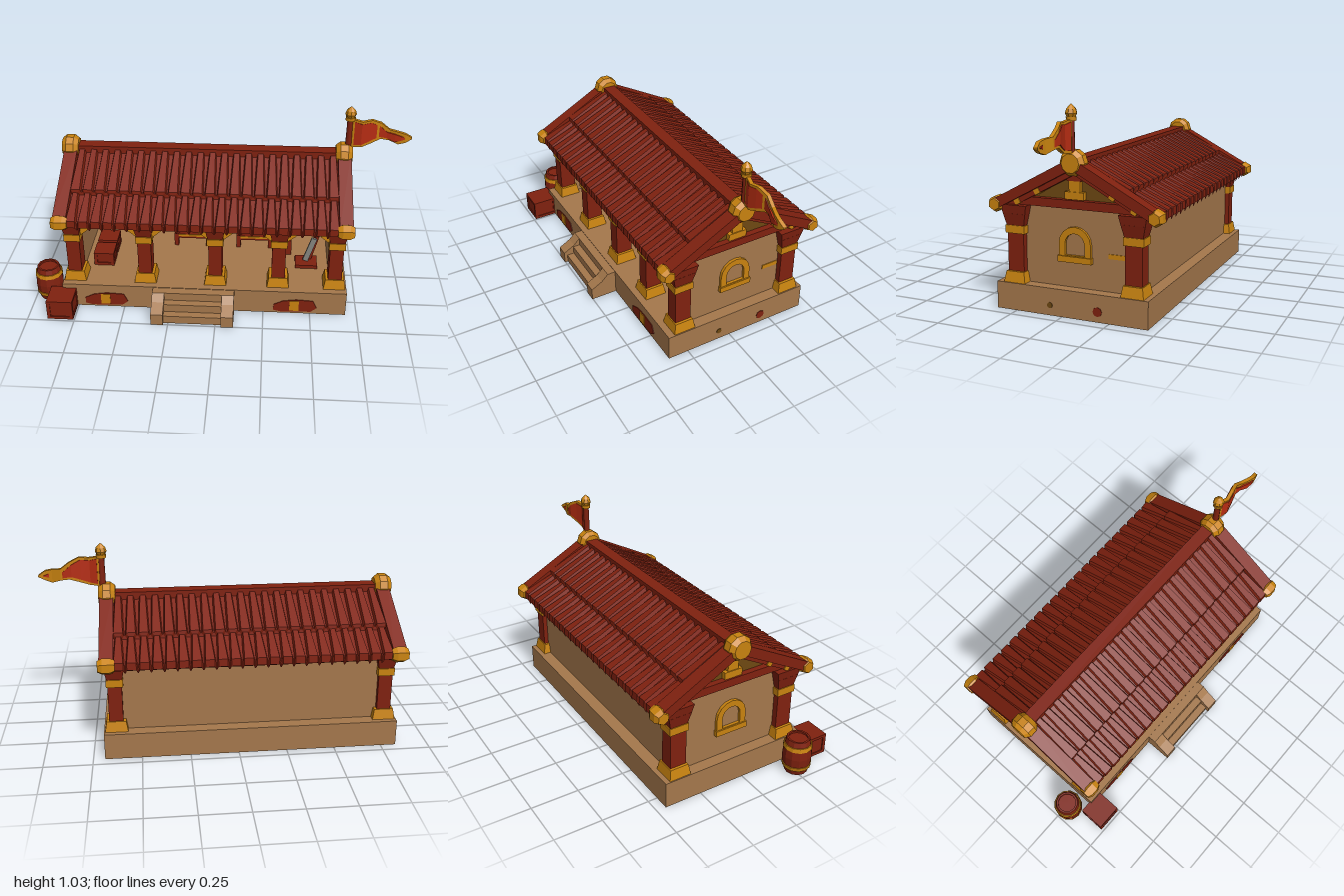
import * as THREE from 'three';

const mat = (name, color) => Object.assign(new THREE.MeshStandardMaterial({ color }), { name });

export function createModel() {
  const red = mat('dark red wood', 0x80210f), gold = mat('gold trim', 0xc9830f);
  const tan = mat('sandstone', 0xa5784c), flagRed = mat('flag cloth red', 0xb52c12);
  const brown = mat('brown timber', 0x6e4812), grey = mat('steel grey', 0x85857f);
  const root = new THREE.Group();
  root.name = 'openHall';
  const CX = -0.07, CZ = -0.05;

  const flat = (g) => {
    const n = g.index ? g.toNonIndexed() : g;
    n.computeVertexNormals();
    return n;
  };
  const add = (name, geo, m, x = 0, y = 0, z = 0, parent = root) => {
    const mesh = new THREE.Mesh(geo, m);
    mesh.name = name;
    mesh.position.set(x, y, z);
    parent.add(mesh);
    return mesh;
  };
  // box given by its limits
  const span = (name, m, x0, x1, y0, y1, z0, z1, parent = root) =>
    add(name, new THREE.BoxGeometry(x1 - x0, y1 - y0, z1 - z0), m, (x0 + x1) / 2, (y0 + y1) / 2, (z0 + z1) / 2, parent);
  // box whose top is scaled by s, standing on y = 0
  const taper = (w, h, d, s) => {
    const g = new THREE.BoxGeometry(w, h, d).translate(0, h / 2, 0), p = g.attributes.position;
    for (let i = 0; i < p.count; i++) if (p.getY(i) > h / 2) p.setXYZ(i, p.getX(i) * s, h, p.getZ(i) * s);
    return flat(g);
  };
  const lathe = (pts, sides) => flat(new THREE.LatheGeometry(pts.map((p) => new THREE.Vector2(...p)), sides));
  const extrude = (pts, depth, holes = []) => {
    const s = new THREE.Shape(pts.map((p) => new THREE.Vector2(...p)));
    holes.forEach((h) => s.holes.push(new THREE.Path(h.map((p) => new THREE.Vector2(...p)))));
    return new THREE.ExtrudeGeometry(s, { depth, bevelEnabled: false });
  };

  // plinth and painted patches
  span('plinth', tan, -0.83, 0.69, 0, 0.138, -0.45, 0.36);
  for (const x of [-0.6, 0.415]) {
    const pts = [[-0.11, -0.03], [-0.07, -0.04], [0.09, -0.035], [0.12, -0.01], [0.1, 0.035], [0.01, 0.04], [-0.06, 0.03], [-0.11, 0.005]];
    add('frontPatch', extrude(pts, 0.004), red, x, 0.05, 0.36);
    span('patchCentre', gold, x - 0.025, x + 0.025, 0.02, 0.083, 0.36, 0.367);
  }
  for (const [m, z, r] of [[red, -0.19, 0.024], [brown, 0.065, 0.015]])
    add('sidePatch', new THREE.CylinderGeometry(r, r, 0.006, 8).rotateZ(Math.PI / 2), m, 0.69, 0.052, z);

  // steps with sloping cheeks
  for (let i = 0; i < 3; i++) span('step', tan, -0.275, 0.03, 0, 0.045 * (i + 1), 0.35, 0.485 - 0.04 * i);
  const cheek = [[0.35, 0], [0.503, 0], [0.503, 0.065], [0.44, 0.1], [0.405, 0.135], [0.35, 0.135]];
  for (const x of [-0.34, 0.03])
    add('stepCheek', extrude(cheek.map(([z, y]) => [-z, y]).reverse(), 0.065).rotateY(Math.PI / 2), tan, x);

  // walls
  span('backWall', tan, -0.77, 0.63, 0.138, 0.53, -0.385, -0.355);
  for (const s of [-1, 1]) {
    const side = new THREE.Group();
    side.name = s > 0 ? 'leftSide' : 'rightSide';
    side.position.set(CX, 0, CZ);
    side.scale.x = s;
    root.add(side);
    span('sideWall', tan, 0.67, 0.7, 0.138, 0.53, -0.31, 0.28, side);
    span('tieBeam', red, 0.65, 0.72, 0.53, 0.572, -0.3, 0.3, side);
    add('gable', extrude([[-0.3, 0.57], [0.3, 0.57], [0, 0.73]], 0.03).rotateY(Math.PI / 2), brown, 0.66, 0, 0, side);
    span('kingPostFoot', gold, 0.68, 0.715, 0.575, 0.612, -0.05, 0.05, side);
    span('kingPost', gold, 0.68, 0.71, 0.612, 0.665, -0.03, 0.03, side);
    span('kingPostHead', red, 0.68, 0.715, 0.665, 0.73, -0.038, 0.038, side);
    // arched window surround
    const arch = (r, y0, y1) => {
      const a = [[-r, y0], [r, y0]];
      for (let i = 0; i <= 8; i++) a.push([r * Math.cos((i * Math.PI) / 8), y1 + r * Math.sin((i * Math.PI) / 8)]);
      return a;
    };
    add('windowFrame', extrude(arch(0.085, 0.275, 0.357), 0.02, [arch(0.052, 0.3, 0.357)]).rotateY(Math.PI / 2), gold, 0.695, 0, 0, side);
    span('windowSill', gold, 0.69, 0.722, 0.266, 0.296, -0.09, 0.09, side);
  }

  // columns
  const column = (x, z) => {
    const g = new THREE.Group();
    g.name = 'column';
    g.position.set(x, 0, z);
    root.add(g);
    add('columnFoot', taper(0.118, 0.055, 0.118, 0.84), gold, 0, 0.138, 0, g);
    add('columnShaft', taper(0.072, 0.35, 0.088, 1), red, 0, 0.15, 0, g);
    add('columnBand', taper(0.086, 0.04, 0.105, 1), gold, 0, 0.385, 0, g);
    add('columnNeck', taper(0.078, 0.06, 0.095, 1.3), red, 0, 0.425, 0, g);
    add('columnHead', taper(0.1, 0.045, 0.124, 1.15), red, 0, 0.485, 0, g);
  };
  const xs = [-0.765, -0.385, -0.01, 0.325, 0.625];
  xs.forEach((x) => column(x, 0.265));
  [xs[0], xs[4]].forEach((x) => column(x, -0.365));
  for (const z of [0.265, -0.365]) span('eaveBeam', red, -0.77, 0.63, 0.485, 0.53, z - 0.03, z + 0.03);

  // arched braces between the front columns
  for (let i = 0; i < 4; i++) {
    const w = (xs[i + 1] - xs[i]) / 2 - 0.03;
    const half = [[w, 0.4], [w, 0.445], [w - 0.06, 0.488], [0, 0.505]];
    const low = [[0, 0.478], [w * 0.45, 0.47], [w - 0.055, 0.445]];
    const right = [...low, ...half.slice(0, 3)];
    const left = right.map(([x, y]) => [-x, y]).reverse().slice(0, -1);
    add('archBrace', extrude([...right, half[3], ...left], 0.04), gold, (xs[i] + xs[i + 1]) / 2, 0, 0.25);
  }

  // roof: two rows of flared cover tiles on each slope
  const SL = 0.535, N = 22, X0 = -0.705, TW = 1.41 / N;
  const rows = [[0, 0, 0.2], [0.262, 0.012, 0.36], [0.264, -0.006, 0.2], [0.428, 0.008, 0.36], [0.43, -0.03, 0.36]];
  const tilePoint = (k, [d, lift, w]) => {
    const c = Math.floor(k / 4), j = k % 4;
    const u = 0.5 + [-w - 0.1, -w, w, w + 0.1][j];
    const h = j === 1 || j === 2 ? 0.018 : 0;
    return [X0 + (c + u) * TW, 0.752 - SL * d + lift + h, d + h * 0.4];
  };
  const verts = [];
  for (let r = 0; r < rows.length - 1; r++)
    for (let k = 0; k < N * 4 - 1; k++) {
      const a = tilePoint(k, rows[r]), b = tilePoint(k, rows[r + 1]);
      const c = tilePoint(k + 1, rows[r + 1]), d = tilePoint(k + 1, rows[r]);
      verts.push(...a, ...b, ...c, ...a, ...c, ...d);
    }
  const tiles = new THREE.BufferGeometry();
  tiles.setAttribute('position', new THREE.Float32BufferAttribute(verts, 3));
  tiles.computeVertexNormals();
  const capGeo = (r, w, sides) =>
    lathe([[0, -w], [r * 0.72, -w], [r, -w * 0.45], [r, w * 0.45], [r * 0.72, w], [0, w]], sides).rotateZ(Math.PI / 2);
  const tilt = Math.atan(SL), cos = Math.cos(tilt);
  for (const turn of [0, Math.PI]) {
    const slope = new THREE.Group();
    slope.name = turn ? 'backRoof' : 'frontRoof';
    slope.position.set(CX - 0.005, 0, CZ - 0.008);
    slope.rotation.y = turn;
    root.add(slope);
    add('roofTiles', tiles, red, 0, 0, 0, slope);
    const board = add('roofBoard', new THREE.BoxGeometry(1.42, 0.02, 0.42 / cos), red, 0, 0.732 - SL * 0.21, 0.21, slope);
    board.rotation.x = tilt;
    for (const x of [-0.733, 0.733]) {
      const rafter = add('endRafter', new THREE.BoxGeometry(0.07, 0.05, 0.42 / cos), red, x, 0.755 - SL * 0.21, 0.21, slope);
      rafter.rotation.x = tilt;
      const under = add('lowerRafter', new THREE.BoxGeometry(0.045, 0.03, 0.36 / cos), red, x * 0.975, 0.715 - SL * 0.19, 0.19, slope);
      under.rotation.x = tilt;
      for (const d of [0.2, 0.31]) {
        const band = add('rafterBand', new THREE.BoxGeometry(0.055, 0.034, 0.03), gold, x * 0.975, 0.715 - SL * d, d, slope);
        band.rotation.x = tilt;
      }
      const end = add('eaveCap', capGeo(0.042, 0.042, 6), gold, x, 0.529, 0.42, slope);
      end.rotation.x = tilt;
    }
  }
  span('ridgeBeam', red, -0.79, 0.64, 0.725, 0.775, -0.092, -0.024);
  for (const x of [-0.812, 0.655]) add('ridgeCap', capGeo(0.065, 0.044, 10), gold, x, 0.757, -0.057);

  // flag on the ridge
  add('flagPole', new THREE.CylinderGeometry(0.016, 0.018, 0.18, 8), red, 0.675, 0.88, -0.055);
  add('poleCollar', new THREE.CylinderGeometry(0.026, 0.026, 0.018, 8), gold, 0.675, 0.965, -0.055);
  add('poleFinial', lathe([[0, 0], [0.018, 0], [0.03, 0.025], [0.024, 0.045], [0.01, 0.06], [0, 0.068]], 8), gold, 0.675, 0.966, -0.055);
  const edge = [[0.685, 0.805, 0.965], [0.74, 0.81, 0.955], [0.79, 0.83, 0.962], [0.84, 0.85, 0.94], [0.885, 0.845, 0.905], [0.93, 0.83, 0.9], [0.965, 0.842, 0.892], [1, 0.862, 0.87]];
  const cloth = (inset, thick) => {
    const pos = [], ring = edge.map(([x, b, t], i) => {
      const x2 = i === 0 ? x + inset : x - inset * (i / 7) * 2;
      const m = (b + t) / 2, h = Math.max((t - b) / 2 - inset, 0.001);
      const z = -0.055 + 0.013 * Math.sin((x - 0.685) * 28);
      return [[x2, m - h, z + thick], [x2, m + h, z + thick], [x2, m + h, z - thick], [x2, m - h, z - thick]];
    });
    const quad = (a, b, c, d) => pos.push(...a, ...b, ...c, ...a, ...c, ...d);
    for (let i = 0; i < 7; i++)
      for (let k = 0; k < 4; k++) quad(ring[i][k], ring[i + 1][k], ring[i + 1][(k + 1) % 4], ring[i][(k + 1) % 4]);
    quad(...ring[0]);
    quad(...[...ring[7]].reverse());
    const g = new THREE.BufferGeometry();
    g.setAttribute('position', new THREE.Float32BufferAttribute(pos, 3));
    g.computeVertexNormals();
    return g;
  };
  add('flagBorder', cloth(0, 0.01), gold);
  add('flagCloth', cloth(0.013, 0.013), flagRed);

  // barrel and crates
  const bulge = (y) => 0.075 - 0.017 * ((y - 0.098) / 0.098) ** 2;
  const hoop = (y0, y1, o) => [[0, y0], [bulge(y0) + o, y0], [bulge(y1) + o, y1], [0, y1]];
  add('barrel', lathe([[0, 0], ...[0, 0.05, 0.098, 0.146, 0.195].map((y) => [bulge(y), y]), [0.048, 0.195], [0.048, 0.185], [0, 0.185]], 12), red, -0.922, 0, 0.27);
  for (const y of [0.03, 0.145]) add('barrelHoop', lathe(hoop(y, y + 0.022, 0.004), 12), gold, -0.922, 0, 0.27);
  const crate = (x, y, z, w, h) => {
    span('crate', red, x - w / 2 + 0.005, x + w / 2 - 0.005, y, y + h - 0.004, z - w / 2 + 0.005, z + w / 2 - 0.005);
    for (const sx of [-1, 1]) for (const sz of [-1, 1])
      add('cratePost', new THREE.BoxGeometry(0.018, h, 0.018), red, x + sx * (w / 2 - 0.009), y + h / 2, z + sz * (w / 2 - 0.009));
    for (const s of [-1, 1]) add('crateRail', new THREE.BoxGeometry(w, 0.016, w), red, x, y + h / 2 + s * (h / 2 - 0.008), z);
  };
  crate(-0.825, 0, 0.418, 0.138, 0.112);
  crate(-0.635, 0.138, 0.12, 0.11, 0.077);
  crate(-0.635, 0.138, -0.01, 0.11, 0.077);

  // beds with arched ends
  for (const x of [-0.165, 0.19]) {
    for (const z of [-0.3, -0.06]) {
      for (const s of [-1, 1]) span('bedLeg', red, x + s * 0.09 - 0.012, x + s * 0.09 + 0.012, 0.138, 0.215, z - 0.012, z + 0.012);
      add('bedEnd', extrude([[-0.1, 0.185], [0.1, 0.185], [0.1, 0.205], [0.05, 0.235], [-0.05, 0.235], [-0.1, 0.205]], 0.016), red, x, 0, z - 0.008);
      span('bedEndTrim', gold, x - 0.08, x + 0.08, 0.198, 0.21, z - 0.012, z + 0.012);
    }
    span('mattress', gold, x - 0.085, x + 0.085, 0.18, 0.205, -0.3, -0.06);
    span('blanket', flagRed, x - 0.09, x + 0.09, 0.178, 0.212, -0.2, -0.08);
  }

  // shields on the back wall
  for (const x of [0.06, 0.172]) {
    add('shield', new THREE.CylinderGeometry(0.05, 0.056, 0.02, 14).rotateX(Math.PI / 2), brown, x, 0.325, -0.345);
    add('shieldBoss', new THREE.SphereGeometry(0.016, 8, 6), gold, x, 0.325, -0.333);
  }
  span('wallLamp', gold, 0.112, 0.135, 0.34, 0.39, -0.357, -0.325);

  // spear rack
  for (const x of [-0.45, -0.325]) span('rackPost', red, x - 0.01, x + 0.01, 0.138, 0.29, -0.31, -0.28);
  for (const y of [0.175, 0.262]) span('rackRail', red, -0.465, -0.31, y, y + 0.018, -0.305, -0.285);
  for (const x of [-0.435, -0.34]) {
    add('spearShaft', new THREE.CylinderGeometry(0.006, 0.006, 0.2, 6), red, x, 0.24, -0.27);
    add('spearHead', new THREE.ConeGeometry(0.014, 0.05, 4), grey, x, 0.365, -0.27);
  }

  // shelf, bottles, stand and leaning blade
  span('shelf', gold, 0.47, 0.634, 0.302, 0.325, -0.315, -0.225);
  for (const x of [0.49, 0.53, 0.575]) {
    add('bottle', new THREE.CylinderGeometry(0.012, 0.014, 0.04, 8), brown, x, 0.345, -0.27);
    add('bottleNeck', new THREE.CylinderGeometry(0.004, 0.009, 0.025, 8), grey, x, 0.375, -0.27);
  }
  span('shortPost', red, 0.37, 0.4, 0.138, 0.23, -0.02, 0.01);
  span('bladeStand', red, 0.42, 0.54, 0.138, 0.158, 0.04, 0.14);
  add('standBack', new THREE.BoxGeometry(0.022, 0.17, 0.03), red, 0.515, 0.225, 0.06).rotation.z = -0.25;
  add('blade', new THREE.BoxGeometry(0.03, 0.15, 0.012), grey, 0.497, 0.235, 0.095).rotation.z = -0.3;
  return root;
}
